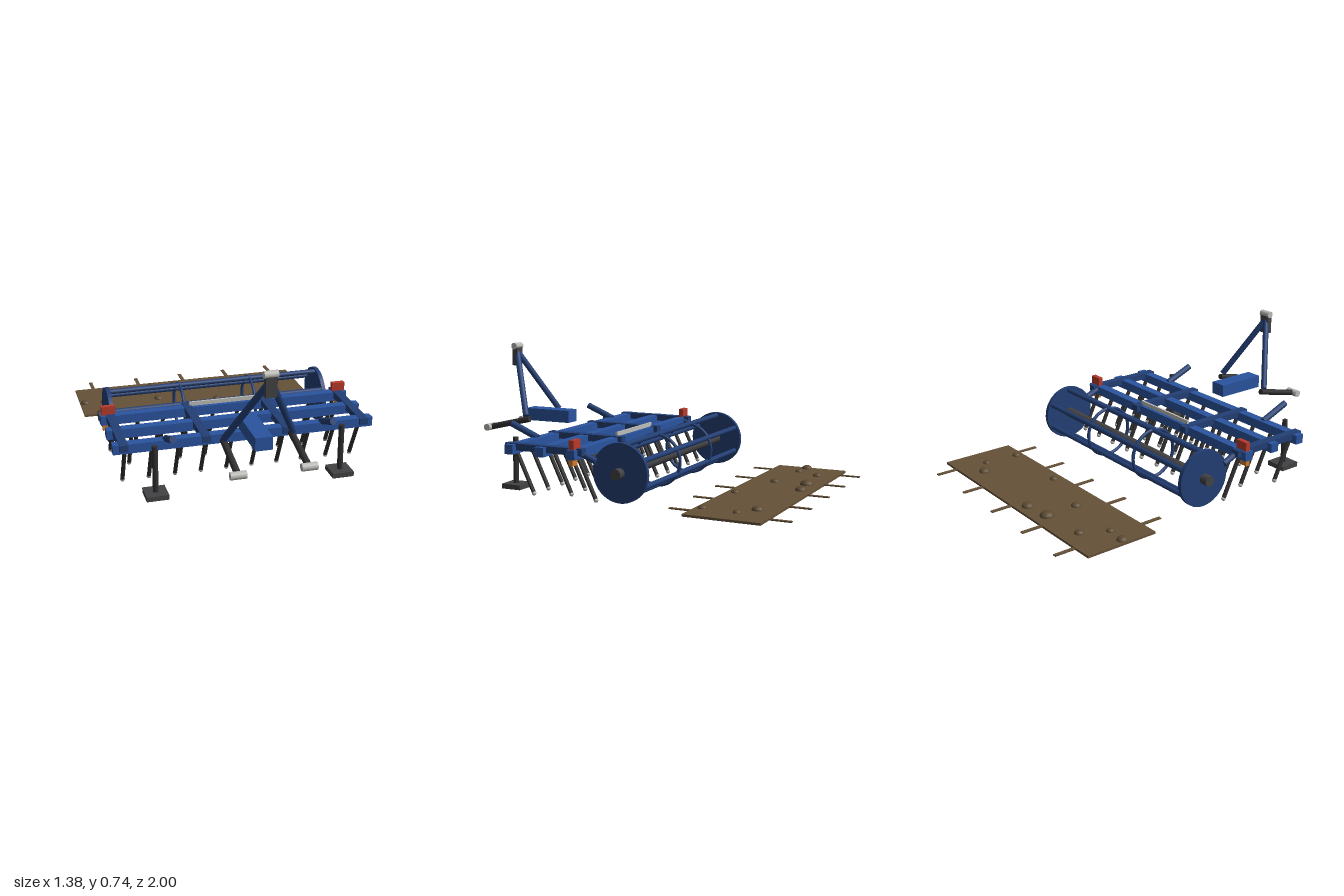
import * as THREE from 'three';

const mat = (name, color) => {
  const m = new THREE.MeshStandardMaterial({ color });
  m.name = name;
  return m;
};

export function createModel() {
  const blue = mat('frame blue', 0x2a549f);
  const darkBlue = mat('dark blue', 0x233f75);
  const charcoal = mat('charcoal', 0x424244);
  const black = mat('tine black', 0x303032);
  const steel = mat('steel', 0xbcbcb8);
  const red = mat('red', 0xb83a2c);
  const orange = mat('orange', 0xd07a2a);
  const soil = mat('soil', 0x665138);
  const clodBrown = mat('clod brown', 0x5c4a32);

  const model = new THREE.Group();
  model.name = 'cultivator';

  const add = (name, geo, material, x = 0, y = 0, z = 0, parent = model) => {
    const m = new THREE.Mesh(geo, material);
    m.name = name;
    m.position.set(x, y, z);
    parent.add(m);
    return m;
  };
  const box = (name, material, w, h, d, x, y, z, parent) =>
    add(name, new THREE.BoxGeometry(w, h, d), material, x, y, z, parent);
  // Round rod between two points
  const rod = (name, material, r, a, b, parent, sides = 12) => {
    const p = new THREE.Vector3(...a), q = new THREE.Vector3(...b);
    const dir = q.clone().sub(p);
    const m = add(name, new THREE.CylinderGeometry(r, r, dir.length(), sides), material, 0, 0, 0, parent);
    m.position.copy(p).add(q).multiplyScalar(0.5);
    m.quaternion.setFromUnitVectors(new THREE.Vector3(0, 1, 0), dir.normalize());
    return m;
  };
  const crossRod = (name, material, r, length, x, y, z, parent, sides = 16) =>
    rod(name, material, r, [x - length / 2, y, z], [x + length / 2, y, z], parent, sides);

  // Frame: three cross beams and four lengthwise beams
  const rows = [0.503, 0.318, 0.133];
  for (const z of rows) box('crossBeam', blue, 1.38, 0.05, 0.05, 0, 0.246, z);
  for (const x of [-0.637, -0.214, 0.214, 0.637])
    box('lengthBeam', darkBlue, 0.045, 0.036, 0.462, x, 0.257, 0.314);

  // Raked tines with steel points, staggered in the middle row
  const tines = new THREE.Group();
  tines.name = 'tines';
  model.add(tines);
  rows.forEach((z, row) => {
    const count = row === 1 ? 9 : 10;
    for (let i = 0; i < count; i++) {
      const x = (i - (count - 1) / 2) * 0.139;
      rod('tine', black, 0.011, [x, 0.235, z - 0.005], [x, 0.018, z - 0.11], tines, 8);
      add('tinePoint', new THREE.SphereGeometry(0.0125, 10, 8), steel, x, 0.015, z - 0.111, tines);
    }
  });

  // Cage roller: axle, end discs, six bars and two hoops
  const roller = new THREE.Group();
  roller.name = 'cageRoller';
  roller.position.set(0, 0.163, -0.111);
  model.add(roller);
  crossRod('axle', charcoal, 0.028, 1.33, 0, 0, 0, roller);
  for (let i = 0; i < 6; i++) {
    const a = (i + 0.5) * Math.PI / 3;
    crossRod('rollerBar', darkBlue, 0.014, 1.22, 0, 0.136 * Math.sin(a), 0.136 * Math.cos(a), roller, 10);
  }
  for (const s of [-1, 1]) {
    crossRod('endDisc', darkBlue, 0.154, 0.022, s * 0.608, 0, 0, roller, 40);
    add('hoop', new THREE.TorusGeometry(0.137, 0.009, 8, 40), darkBlue, s * 0.204, 0, 0, roller)
      .rotation.y = Math.PI / 2;
  }

  // Headstock box and long steel plate on the rear beam
  box('headstock', blue, 0.09, 0.07, 0.288, 0, 0.331, 0.676);
  box('steelStrip', steel, 0.41, 0.022, 0.012, 0, 0.283, 0.132);

  // Parts mirrored left and right
  for (const s of [-1, 1]) {
    rod('rollerArm', darkBlue, 0.017, [s * 0.622, 0.257, 0.13], [s * 0.622, 0.212, 0.02]);
    rod('frontStrut', darkBlue, 0.018, [s * 0.415, 0.335, 0.665], [s * 0.415, 0.268, 0.5]);
    rod('mastTube', darkBlue, 0.017, [s * 0.177, 0.342, 0.732], [s * 0.004, 0.685, 0.9]);
    rod('lowerLink', black, 0.017, [s * 0.175, 0.325, 0.71], [s * 0.175, 0.264, 0.972]);
    crossRod('lowerLinkPin', steel, 0.02, 0.08, s * 0.176, 0.264, 0.979);
    rod('standLeg', black, 0.015, [s * 0.492, 0.02, 0.592], [s * 0.492, 0.277, 0.592]);
    box('standFoot', charcoal, 0.115, 0.026, 0.115, s * 0.492, 0.014, 0.59);
    box('redLamp', red, 0.072, 0.048, 0.027, s * 0.647, 0.296, 0.13);
    box('orangeReflector', orange, 0.045, 0.04, 0.024, s * 0.657, 0.207, 0.136);
  }

  // Top of the mast
  box('mastHead', charcoal, 0.057, 0.115, 0.033, 0, 0.668, 0.903);
  crossRod('topLinkPin', steel, 0.019, 0.07, 0, 0.723, 0.903);

  // Soil bed behind, with furrow strips and clods
  const bed = new THREE.Group();
  bed.name = 'soilBed';
  model.add(bed);
  box('soilSlab', soil, 1.384, 0.012, 0.402, 0, 0.006, -0.685, bed);
  for (let i = -2; i <= 2; i++)
    box('furrow', soil, 0.02, 0.006, 0.634, i * 0.29, 0.006, -0.683, bed);
  const clods = [
    [-0.476, -0.786, 0.026], [-0.661, -0.664, 0.029], [-0.55, -0.653, 0.022], [-0.222, -0.807, 0.038],
    [-0.217, -0.627, 0.027], [-0.069, -0.825, 0.032], [0.13, -0.534, 0.024], [0.45, -0.78, 0.031],
    [0.545, -0.711, 0.022], [0.534, -0.524, 0.024],
  ];
  for (const [x, z, r] of clods)
    add('clod', new THREE.SphereGeometry(r, 14, 7, 0, Math.PI * 2, 0, Math.PI / 2), clodBrown, x, 0.011, z, bed)
      .scale.y = 0.75;

  return model;
}
